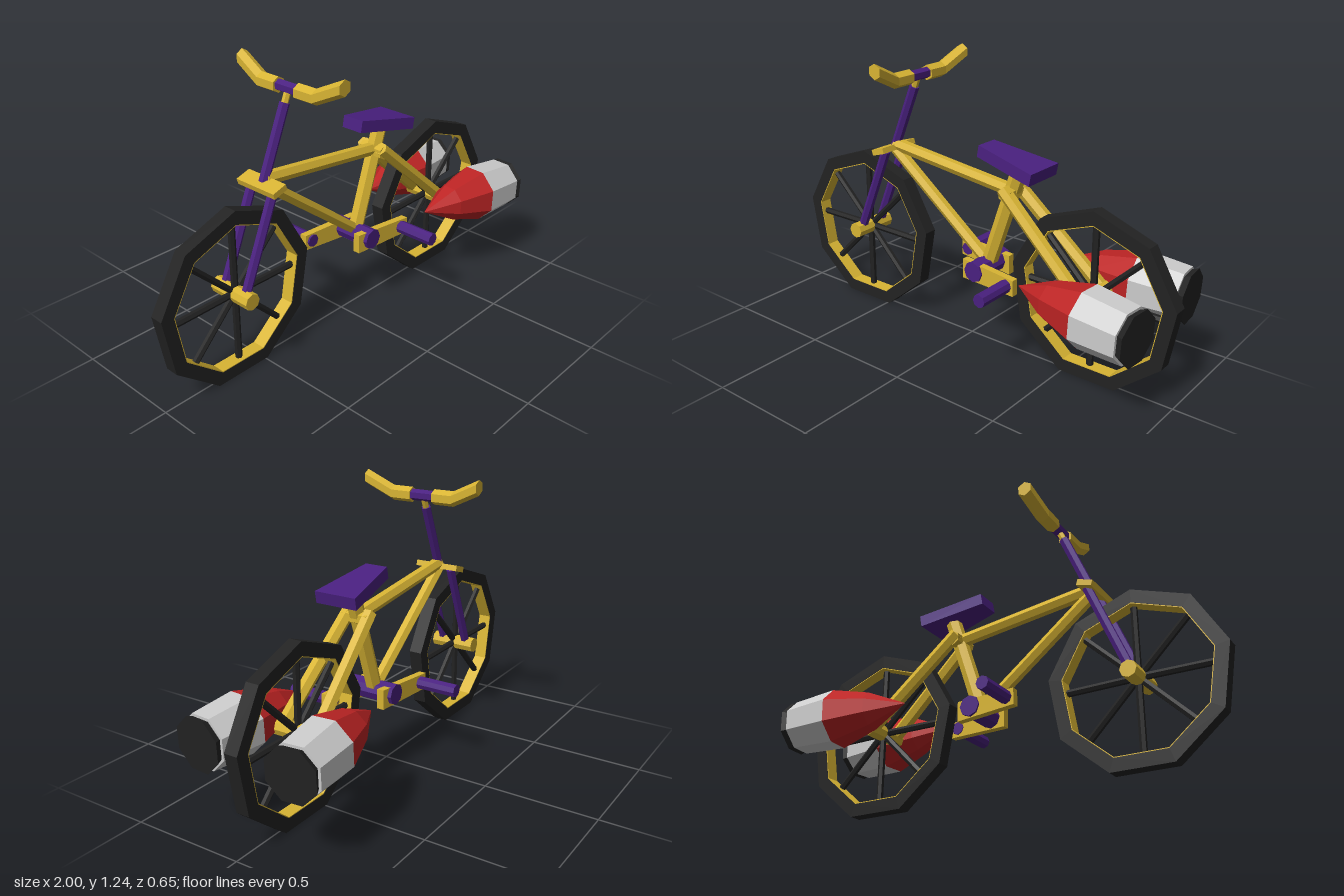
import * as THREE from 'three';

const mat = (name, color) => {
  const m = new THREE.MeshStandardMaterial({ color, flatShading: true });
  m.name = name;
  return m;
};
const V = (x, y, z) => new THREE.Vector3(x, y, z);

export function createModel() {
  const gold = mat('gold', 0xd8b433), purple = mat('purple', 0x4a2080), black = mat('black', 0x222222);
  const red = mat('red', 0xbd2424), silver = mat('silver', 0xcccccc);
  const model = new THREE.Group();
  model.name = 'bicycle';

  const add = (name, geo, material, parent = model) => {
    const mesh = new THREE.Mesh(geo, material);
    mesh.name = name;
    parent.add(mesh);
    return mesh;
  };
  // Straight tube between two points
  const tube = (name, a, b, r, material, parent = model, sides = 6, rEnd = r) => {
    const d = b.clone().sub(a);
    const mesh = add(name, new THREE.CylinderGeometry(rEnd, r, d.length(), sides), material, parent);
    mesh.position.copy(a).add(b).multiplyScalar(0.5);
    mesh.quaternion.setFromUnitVectors(V(0, 1, 0), d.normalize());
    return mesh;
  };
  // Regular polygon with a corner at the top
  const polygon = (Type, r, n) => {
    const pts = [];
    for (let i = 0; i < n; i++) {
      const a = Math.PI / 2 + (i / n) * Math.PI * 2;
      pts.push(new THREE.Vector2(r * Math.cos(a), r * Math.sin(a)));
    }
    return new Type(pts);
  };

  // Nine-sided wheels with a gold inner rim and eight spokes
  const wheel = (name, x) => {
    const g = new THREE.Group();
    g.name = name;
    g.position.set(x, 0.361, 0);
    model.add(g);
    const shape = polygon(THREE.Shape, 0.384, 9);
    shape.holes.push(polygon(THREE.Path, 0.325, 9));
    const tyre = new THREE.ExtrudeGeometry(shape, { depth: 0.06, bevelEnabled: false });
    add('tyre', tyre.translate(0, 0, -0.03), black, g);
    const liner = new THREE.Shape(polygon(THREE.Path, 0.3248, 9).getPoints());
    liner.holes.push(polygon(THREE.Path, 0.321, 9));
    const rim = new THREE.ExtrudeGeometry(liner, { depth: 0.059, bevelEnabled: false });
    add('innerRim', rim.translate(0, 0, -0.0295), gold, g);
    for (let i = 0; i < 8; i++) {
      const a = (i / 8) * Math.PI * 2;
      tube('spoke', V(0, 0.009, 0), V(0.31 * Math.cos(a), 0.006 + 0.307 * Math.sin(a), 0), 0.015, black, g);
    }
    tube('axle', V(0, 0.009, -0.105), V(0, 0.009, 0.105), 0.036, gold, g, 8);
  };
  wheel('frontWheel', -0.62);
  wheel('rearWheel', 0.62);

  // Frame
  tube('topTube', V(-0.44, 0.808, 0), V(0.23, 0.728, 0), 0.029, gold);
  tube('downTube', V(-0.44, 0.785, 0), V(0.09, 0.375, 0), 0.028, gold);
  tube('seatTube', V(0.09, 0.36, 0), V(0.255, 0.85, 0), 0.035, gold);
  for (const s of [-1, 1])
    tube('seatStay', V(0.2, 0.745, s * 0.05), V(0.62, 0.37, s * 0.08), 0.03, gold);
  tube('stayBridge', V(0.215, 0.725, -0.06), V(0.215, 0.725, 0.06), 0.034, gold);

  // Fork, crown and steering column
  for (const s of [-1, 1])
    tube('forkLeg', V(-0.62, 0.37, s * 0.06), V(-0.447, 0.785, s * 0.06), 0.021, purple);
  const crown = add('forkCrown', new THREE.BoxGeometry(0.07, 0.026, 0.21), gold);
  crown.position.set(-0.455, 0.79, 0);
  crown.rotation.z = 0.3;
  tube('steeringColumn', V(-0.45, 0.78, 0), V(-0.32, 1.09, 0), 0.022, purple);
  tube('stem', V(-0.325, 1.075, 0), V(-0.298, 1.14, 0), 0.015, gold);

  // Handlebar with bent, upswept grips
  tube('handlebarClamp', V(-0.296, 1.144, -0.07), V(-0.296, 1.144, 0.07), 0.025, purple);
  const grip = (levels) => {
    const geo = new THREE.CylinderGeometry(0.034, 0.034, 2, 6, 2).rotateX(Math.PI / 2);
    const p = geo.attributes.position;
    for (let i = 0; i < p.count; i++) {
      const z = levels[Math.round(p.getZ(i)) + 1];
      const lift = Math.max(0, Math.abs(z) - 0.15) / 0.13;
      p.setXYZ(i, p.getX(i) - 0.297 + lift * 0.016, p.getY(i) + 1.143 + lift * 0.062, z);
    }
    geo.computeVertexNormals();
    add('handlebarGrip', geo, gold);
  };
  grip([0.055, 0.15, 0.28]);
  grip([-0.28, -0.15, -0.055]);

  // Wedge-shaped saddle, narrow towards the front
  const saddle = new THREE.BoxGeometry(0.3, 0.052, 0.194);
  const sp = saddle.attributes.position;
  for (let i = 0; i < sp.count; i++) if (sp.getX(i) < 0) sp.setZ(i, sp.getZ(i) * 0.54);
  saddle.computeVertexNormals();
  const saddleMesh = add('saddle', saddle, purple);
  saddleMesh.position.set(0.218, 0.858, 0);
  saddleMesh.rotation.z = -0.184;

  // Cranks and pedals, opposite each other
  tube('bottomBracket', V(0.09, 0.362, -0.11), V(0.09, 0.362, 0.11), 0.046, purple, model, 8);
  for (const turn of [0, Math.PI]) {
    const g = new THREE.Group();
    g.name = 'crank';
    g.position.set(0.09, 0.355, 0);
    g.rotation.y = turn;
    model.add(g);
    const arm = new THREE.BoxGeometry(0.29, 0.084, 0.032);
    const p = arm.attributes.position;
    for (let i = 0; i < p.count; i++) {
      const end = p.getX(i) > 0;
      p.setXYZ(i, p.getX(i) + 0.075, p.getY(i) * (end ? 0.85 : 1.05), p.getZ(i) + (end ? 0.107 : 0.073));
    }
    arm.computeVertexNormals();
    add('crankArm', arm, gold, g);
    tube('pedal', V(0.182, 0.002, 0.08), V(0.182, 0.002, 0.3), 0.029, purple, g, 8);
  }

  // Eight-sided rocket boosters beside the rear wheel
  const lathe = (pts) => new THREE.LatheGeometry(pts.map(([r, y]) => new THREE.Vector2(r, y)), 8, Math.PI / 8);
  for (const s of [-1, 1]) {
    const g = new THREE.Group();
    g.name = 'rocketBooster';
    g.position.set(0.375, 0.41, s * 0.172);
    // Local y runs from tip to tail, with a flat side facing up
    const dir = V(0.565, -0.025, s * 0.047).normalize();
    const side = V(0, 0, 1).addScaledVector(dir, -dir.z).normalize();
    g.quaternion.setFromRotationMatrix(
      new THREE.Matrix4().makeBasis(new THREE.Vector3().crossVectors(dir, side), dir, side));
    model.add(g);
    add('noseCone', lathe([[0.13, 0.34], [0.082, 0.165], [0.001, 0]].reverse()), red, g);
    add('body', lathe([[0.13, 0.34], [0.117, 0.54], [0, 0.54]]), silver, g);
    add('nozzle', lathe([[0, 0.53], [0.1, 0.53], [0.117, 0.568], [0, 0.568]]), black, g);
  }
  return model;
}
